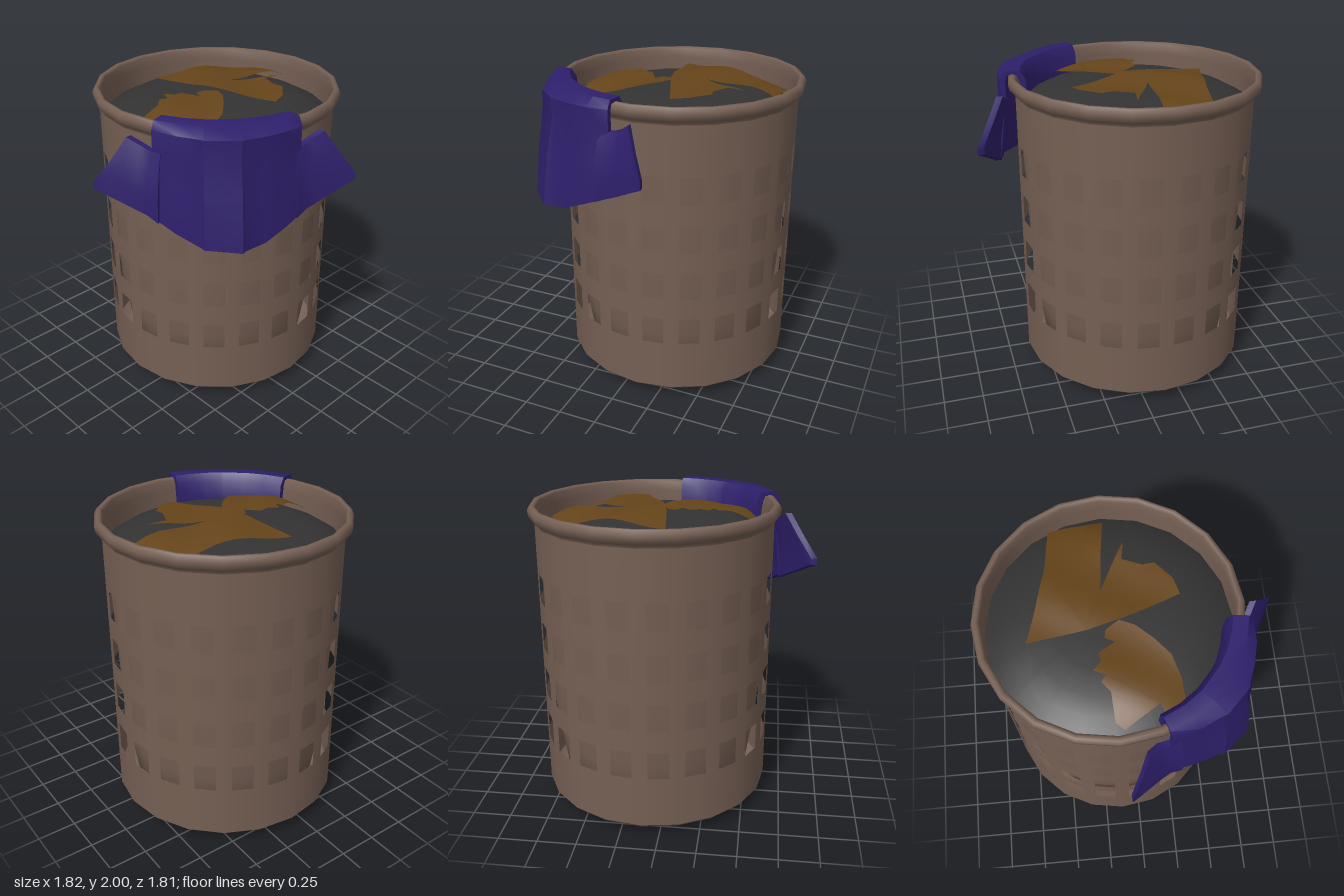
import * as THREE from 'three';
import { mergeVertices, toCreasedNormals } from 'three/addons/utils/BufferGeometryUtils.js';

const SIDES = 20, R = 0.75;
const material = (color) => new THREE.MeshStandardMaterial({ color, side: THREE.DoubleSide });
const wicker = material(0x755f53), dark = material(0x333333);
const purple = material(0x2e1f6b), ochre = material(0x65441a);

function mesh(name, geometry, mat) {
  const m = new THREE.Mesh(geometry, mat);
  m.name = name;
  return m;
}

function lathe(name, profile, mat) {
  return mesh(name, new THREE.LatheGeometry(profile.map(([r, y]) => new THREE.Vector2(r, y)), SIDES), mat);
}

function indexed(positions, index) {
  const g = new THREE.BufferGeometry();
  g.setAttribute('position', new THREE.Float32BufferAttribute(positions, 3));
  g.setIndex(index);
  return g;
}

// Basket wall: flat panels with one window per panel in each of four rows
function wallGeometry() {
  const rows = [0.085, 0.42, 0.6, 0.742, 0.92, 1.062, 1.237, 1.38, 1.555, 1.87];
  const cols = [0, 0.21, 0.79, 1];
  const pos = [], nor = [], index = [];
  const step = (Math.PI * 2) / SIDES;
  for (let s = 0; s < SIDES; s++) {
    const a = s * step, b = a + step, base = pos.length / 3;
    for (const y of rows) for (const u of cols) {
      const x = THREE.MathUtils.lerp(Math.sin(a), Math.sin(b), u);
      const z = THREE.MathUtils.lerp(Math.cos(a), Math.cos(b), u);
      pos.push(R * x, y, R * z);
      nor.push(Math.sin(a + u * step), 0, Math.cos(a + u * step));
    }
    for (let r = 0; r < rows.length - 1; r++) for (let c = 0; c < 3; c++) {
      if (c === 1 && r % 2 === 1) continue; // window
      const i = base + r * 4 + c;
      index.push(i, i + 1, i + 5, i, i + 5, i + 4);
    }
  }
  const g = indexed(pos, index);
  g.setAttribute('normal', new THREE.Float32BufferAttribute(nor, 3));
  return g;
}

// Height of the heaped contents at a distance from the axis
const heap = (r) => 1.78 + 0.13 * (1 - Math.min(1, r / 0.735) ** 4);

// Flat outline [x, z] split into small triangles and laid over the heap
function rag(name, outline, lift, phase) {
  const shape = new THREE.Shape(outline.map(([x, z]) => new THREE.Vector2(x - 0.113, -(z + 0.125))));
  const p = new THREE.ShapeGeometry(shape).toNonIndexed().getAttribute('position');
  let tris = [];
  for (let i = 0; i < p.count; i += 3) {
    tris.push([0, 1, 2].map((k) => new THREE.Vector3(p.getX(i + k), 0, -p.getY(i + k))));
  }
  const mid = (a, b) => a.clone().add(b).multiplyScalar(0.5);
  for (let pass = 0; pass < 3; pass++) {
    tris = tris.flatMap(([a, b, c]) => {
      const ab = mid(a, b), bc = mid(b, c), ca = mid(c, a);
      return [[a, ab, ca], [ab, b, bc], [ca, bc, c], [ab, bc, ca]];
    });
  }
  const pos = tris.flat().flatMap((v) => {
    const fold = 0.012 * Math.sin(v.x * 11 + v.z * 7 + phase);
    return [v.x, heap(Math.hypot(v.x, v.z)) + lift + fold, v.z];
  });
  const g = new THREE.BufferGeometry();
  g.setAttribute('position', new THREE.Float32BufferAttribute(pos, 3));
  const welded = mergeVertices(g, 1e-4);
  welded.computeVertexNormals();
  return mesh(name, welded, ochre);
}

// Closed solid through sections; each section is [angle in degrees, outer path, inner path] of [radius, y]
function drape(name, sections) {
  const pos = [], index = [];
  const n = sections[0][1].length * 2;
  for (const [deg, outer, inner] of sections) {
    const a = THREE.MathUtils.degToRad(deg);
    for (const [r, y] of [...outer, ...[...inner].reverse()]) pos.push(r * Math.sin(a), y, r * Math.cos(a));
  }
  const quad = (a, b, c, d) => index.push(a, b, c, a, c, d);
  for (let s = 0; s < sections.length - 1; s++) for (let k = 0; k < n; k++) {
    const l = (k + 1) % n;
    quad(s * n + k, s * n + l, (s + 1) * n + l, (s + 1) * n + k);
  }
  const end = (sections.length - 1) * n;
  for (let k = 0; k < n / 2 - 1; k++) {
    quad(k, n - 1 - k, n - 2 - k, k + 1);
    quad(end + k, end + k + 1, end + n - 2 - k, end + n - 1 - k);
  }
  return mesh(name, toCreasedNormals(indexed(pos, index), 0.7), purple);
}

// Shirt hung over the rim: a body folded over the edge and two sleeves
function shirt() {
  const g = new THREE.Group();
  g.name = 'shirt';
  // angle, hem radius, hem height, bulge just below the fold
  const hem = [[-31, 0.88, 1.43, 0.83], [-20, 0.91, 1.36, 0.86], [-10, 0.95, 1.3, 0.89], [-9, 0.97, 1.3, 0.9],
    [4, 1.0, 1.29, 0.91], [5, 0.975, 1.29, 0.9], [13, 0.94, 1.31, 0.88], [22, 0.91, 1.37, 0.86], [31, 0.89, 1.43, 0.83]];
  g.add(drape('shirtBody', hem.map(([a, r, y, b]) => {
    const m = [(r + b) / 2 + 0.005, (y + 1.9) / 2];
    return [a,
      [[0.665, 1.82], [0.675, 1.95], [0.71, 2.0], [0.8, 2.0], [b, 1.95], [b, 1.83], m, [r, y]],
      [[0.7, 1.82], [0.715, 1.94], [0.73, 1.975], [0.79, 1.975], [b - 0.03, 1.94], [b - 0.03, 1.83],
        [m[0] - 0.04, m[1]], [r - 0.04, y + 0.01]]];
  })));
  // angle, top radius, top height, bottom radius, bottom height
  const sleeve = [[27, 0.84, 1.82, 0.9, 1.4], [32, 0.83, 1.82, 0.89, 1.435], [36, 0.83, 1.84, 0.91, 1.465],
    [41, 0.87, 1.89, 0.95, 1.51], [45, 0.95, 1.75, 0.99, 1.55], [48.5, 1.03, 1.63, 1.03, 1.585]];
  for (const side of [-1, 1]) {
    const sections = sleeve.map(([a, rt, yt, rb, yb]) => {
      const path = [0, 0.33, 0.67, 1].map((t) => [
        THREE.MathUtils.lerp(rt, rb, t) + 0.02 * Math.sin(Math.PI * t) * (a < 45 ? 1 : 0), THREE.MathUtils.lerp(yt, yb, t)]);
      return [side * a, path, path.map(([r, y]) => [r - 0.04, y])];
    });
    if (side < 0) sections.reverse();
    g.add(drape(side < 0 ? 'rightSleeve' : 'leftSleeve', sections));
  }
  g.rotation.y = -0.68;
  return g;
}

export function createModel() {
  const basket = new THREE.Group();
  basket.name = 'laundryBasket';
  basket.position.set(0.113, 0, -0.125);

  // Basket shell
  basket.add(lathe('base', [[0, 0], [0.5, 0.006], [0.67, 0.03], [0.725, 0.06], [R, 0.085]], wicker));
  basket.add(mesh('wall', wallGeometry(), wicker));
  basket.add(lathe('rim', [[R, 1.87], [0.757, 1.89], [0.785, 1.912], [0.79, 1.95], [0.775, 1.978],
    [0.755, 1.98], [0.74, 1.965], [0.737, 1.9], [0.737, 1.76]], wicker));

  // Tapered liner and the heap that fills it
  basket.add(lathe('liner', [[0, 0.05], [0.6, 0.05], [0.655, 0.42], [0.68, 0.6], [0.698, 0.92], [0.715, 1.4], [0.735, 1.78]], wicker));
  basket.add(lathe('contents', [0.737, 0.68, 0.6, 0.5, 0.35, 0.18, 0].map((r) => [r, heap(r)]), dark));

  // Crumpled clothes on the heap
  basket.add(rag('smallCloth', [[-0.56, -0.09], [-0.52, -0.14], [-0.36, -0.15], [-0.3, -0.2], [-0.26, -0.17],
    [-0.23, -0.24], [-0.18, -0.19], [-0.12, -0.2], [-0.06, -0.1], [-0.03, -0.16], [0.02, -0.15], [0.07, -0.07],
    [0.03, 0.02], [-0.06, 0.12], [-0.16, 0.21], [-0.3, 0.255], [-0.47, 0.27], [-0.52, 0.22], [-0.52, 0.16],
    [-0.44, 0.12]], 0.035, 0));
  basket.add(rag('largeCloth', [[-0.02, -0.61], [0.2, -0.54], [0.43, -0.48], [0.74, -0.45], [0.74, -0.25],
    [0.76, -0.11], [0.5, -0.14], [0.27, -0.16], [0.47, -0.06], [0.58, 0], [0.46, -0.02], [0.41, 0.1],
    [0.42, 0.17], [0.31, 0.27], [0.21, 0.3], [0.07, -0.05], [0.02, -0.25]], 0.04, 2));

  basket.add(shirt());

  const model = new THREE.Group();
  model.name = 'model';
  model.add(basket);
  return model;
}
